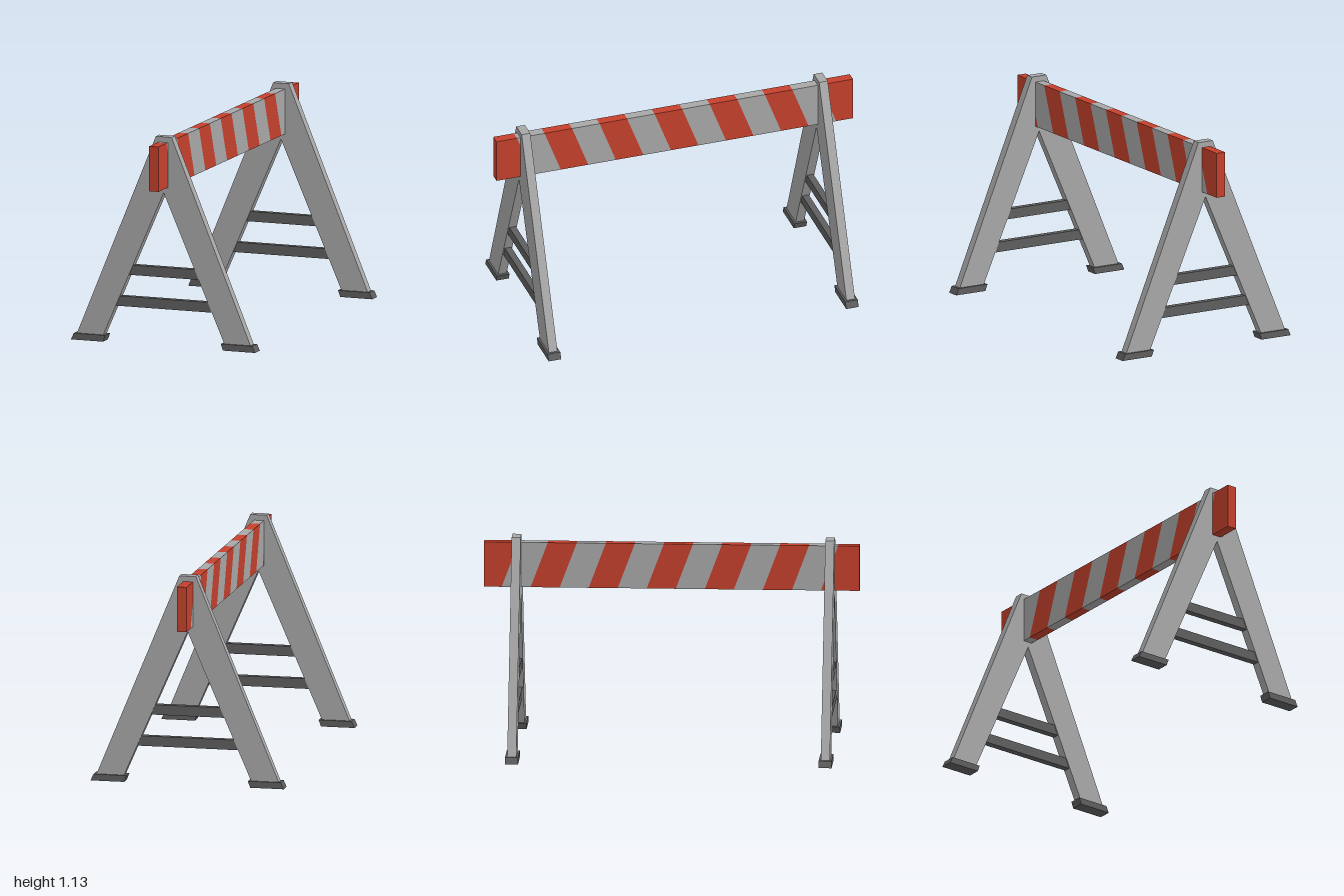
import * as THREE from 'three';

const mat = (name, color) => {
  const m = new THREE.MeshStandardMaterial({ color });
  m.name = name;
  return m;
};

// Flat polygon extruded by depth, centred on z
function slab(points, depth) {
  const shape = new THREE.Shape(points.map(([x, y]) => new THREE.Vector2(x, y)));
  return new THREE.ExtrudeGeometry(shape, { depth, bevelEnabled: false }).translate(0, 0, -depth / 2);
}

export function createModel() {
  const grey = mat('paleGrey', 0xa8a8a8);
  const red = mat('signalRed', 0xc4402c);
  const dark = mat('darkGrey', 0x5e5e5e);

  const model = new THREE.Group();
  model.name = 'barricade';
  const add = (parent, name, geometry, material) => {
    const mesh = new THREE.Mesh(geometry, material);
    mesh.name = name;
    parent.add(mesh);
    return mesh;
  };

  // A-shaped end frame with feet and two rungs
  function endFrame(name, z) {
    const frame = new THREE.Group();
    frame.name = name;
    frame.position.z = z;
    model.add(frame);

    add(frame, 'legs', slab([
      [-0.503, 0.02], [-0.353, 0.02], [0, 0.828], [0.353, 0.02],
      [0.503, 0.02], [0.045, 1.13], [-0.045, 1.13],
    ], 0.048), grey);

    // Slanted feet, mirrored left and right
    const foot = [[0.344, 0], [0.527, 0], [0.511, 0.035], [0.331, 0.035]];
    add(frame, 'leftFoot', slab(foot, 0.07), dark);
    add(frame, 'rightFoot', slab(foot.map(([x, y]) => [-x, y]), 0.07), dark);

    // Rungs run into the legs
    for (const [rung, y, half] of [['upperRung', 0.396, 0.22], ['lowerRung', 0.224, 0.3]]) {
      add(frame, rung, new THREE.BoxGeometry(half * 2, 0.054, 0.036).translate(0, y, 0), dark);
    }
  }
  endFrame('frontFrame', 0.842);
  endFrame('backFrame', -0.827);

  // Board cut into slanted stripes, red at both ends
  const board = new THREE.Group();
  board.name = 'stripedBoard';
  board.position.x = -0.003;
  model.add(board);
  const low = 0.857, high = 1.1, step = 0.1545, slant = 0.091, count = 13;
  const edge = (i) => {
    if (i === 0) return [-1, -1];
    if (i === count) return [1, 1];
    const top = -0.885 + (i - 1) * step;
    return [top + slant, top];
  };
  for (let i = 0; i < count; i++) {
    const [b0, t0] = edge(i), [b1, t1] = edge(i + 1);
    const stripe = slab([[b0, low], [b1, low], [t1, high], [t0, high]], 0.053);
    stripe.rotateY(Math.PI / 2);
    add(board, i % 2 ? 'greyStripe' : 'redStripe', stripe, i % 2 ? grey : red);
  }

  return model;
}
